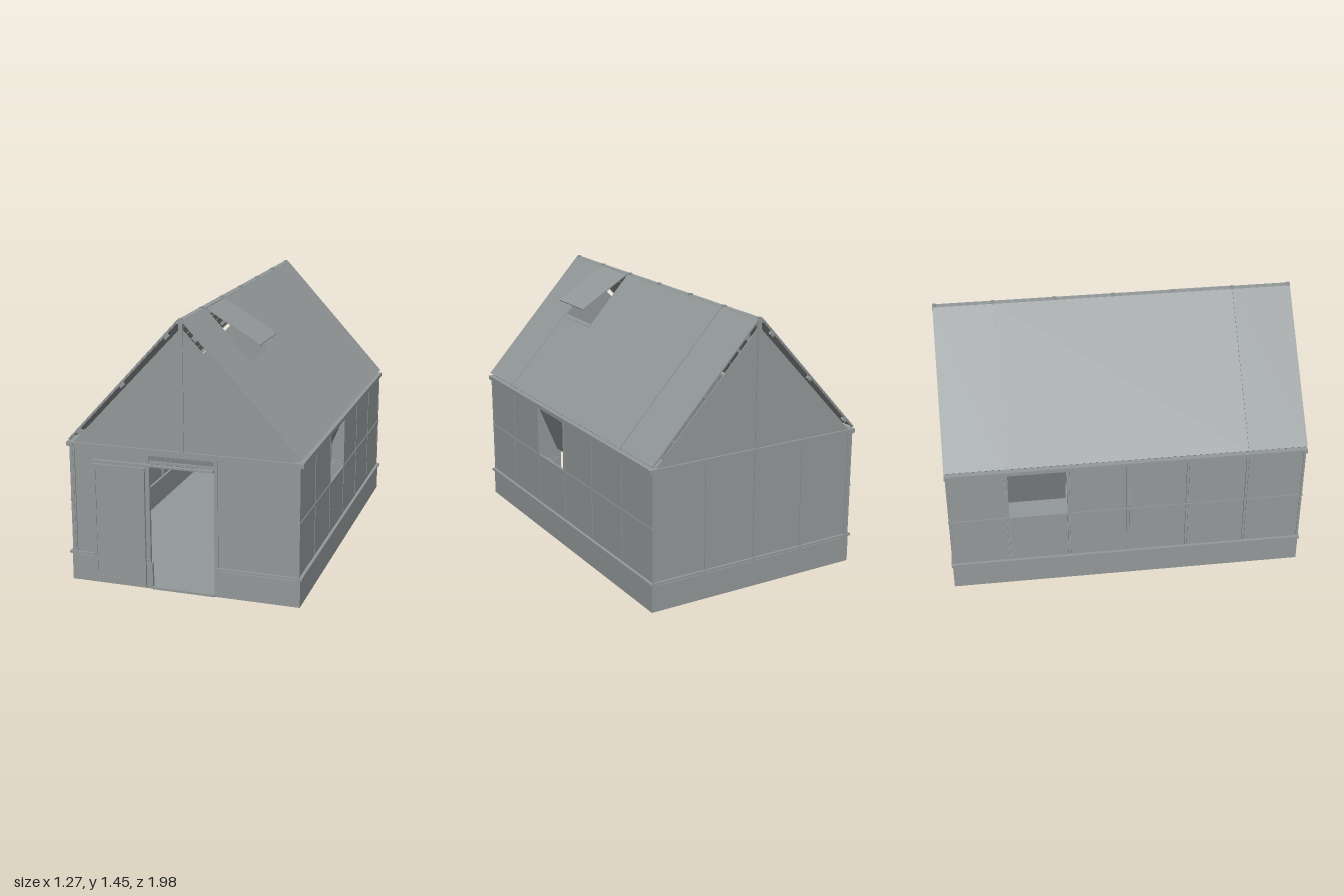
import * as THREE from 'three';

const grey = new THREE.MeshStandardMaterial({ color: 0x949999 });
grey.name = 'greenhouse grey';

export function createModel() {
  const model = new THREE.Group();
  model.name = 'greenhouse';

  // box given by its two extreme corners
  function block(name, x0, x1, y0, y1, z0, z1, parent = model) {
    const m = new THREE.Mesh(new THREE.BoxGeometry(x1 - x0, y1 - y0, z1 - z0), grey);
    m.position.set((x0 + x1) / 2, (y0 + y1) / 2, (z0 + z1) / 2);
    m.name = name;
    parent.add(m);
    return m;
  }
  // plate of thickness t running along a line in the xy plane, extended in z
  function slab(name, [ax, ay], [bx, by], z0, z1, t) {
    const m = new THREE.Mesh(new THREE.BoxGeometry(Math.hypot(bx - ax, by - ay), t, z1 - z0), grey);
    m.position.set((ax + bx) / 2, (ay + by) / 2, (z0 + z1) / 2);
    m.rotation.z = Math.atan2(by - ay, bx - ax);
    m.name = name;
    model.add(m);
    return m;
  }

  const back = -0.985, front = 0.965;
  const bays = [0.96, 0.645, 0.318, -0.01, -0.335, -0.665, -0.98];

  // floor and foundation, left open at the doorway
  block('floor', -0.62, 0.62, 0.004, 0.012, back, front);
  for (const s of [-1, 1]) {
    block('foundationSide', s * 0.615 - 0.01, s * 0.615 + 0.01, 0.004, 0.146, back, front);
    block('foundationFront', s < 0 ? -0.605 : 0.17, s < 0 ? -0.17 : 0.605, 0.004, 0.146, front - 0.02, front);
  }
  block('foundationBack', -0.605, 0.605, 0.004, 0.146, back, back + 0.02);
  block('threshold', -0.17, 0.17, 0.004, 0.016, 0.95, 0.972);

  // pegs between foundation and sill
  for (const z of [front - 0.012, back + 0.012])
    for (const x of [-0.6, -0.53, -0.19, 0.18, 0.31, 0.36, 0.585])
      block('sillPeg', x - 0.008, x + 0.008, 0.14, 0.158, z - 0.006, z + 0.006);

  // long side walls
  for (const s of [-1, 1]) {
    const rail = (name, y0, y1, w) =>
      block(name, s * 0.617 - w, s * 0.617 + w, y0, y1, back - 0.005, front + 0.005);
    rail('sideSill', 0.152, 0.165, 0.018);
    rail('sideMiddleRail', 0.448, 0.458, 0.006);
    rail('sideEaveRail', 0.748, 0.77, 0.018);
    for (const z of bays)
      block('sidePost', s * 0.612 - 0.009, s * 0.612 + 0.009, 0.146, 0.75, z - 0.006, z + 0.006);
    const openBay = s > 0 ? 2 : 4;
    for (let i = 0; i < 6; i++) {
      const z0 = bays[i + 1] + 0.008, z1 = bays[i] - 0.008;
      block('sidePane', s * 0.616 - 0.003, s * 0.616 + 0.003, 0.163, 0.449, z0, z1);
      if (i === openBay) // top-hung window, swung inward
        slab('sideWindow', [s * 0.612, 0.745], [s * 0.5, 0.472], z0, z1, 0.007);
      else
        block('sidePane', s * 0.616 - 0.003, s * 0.616 + 0.003, 0.457, 0.749, z0, z1);
    }
  }

  // triangular gable pane, half the width
  function gable(s, z) {
    const shape = new THREE.Shape([
      new THREE.Vector2(s * 0.008, 0.768), new THREE.Vector2(s * 0.6, 0.768), new THREE.Vector2(s * 0.008, 1.4)]);
    const m = new THREE.Mesh(new THREE.ExtrudeGeometry(shape, { depth: 0.006, bevelEnabled: false }), grey);
    m.position.z = z - 0.003;
    m.name = 'gablePane';
    model.add(m);
  }
  // framing shared by both end walls
  for (const [z, posts] of [[front - 0.01, [-0.605, -0.19, 0.18, 0.605]], [back + 0.01, [-0.605, -0.3, 0, 0.3, 0.605]]]) {
    for (const s of [-1, 1]) gable(s, z);
    block('gablePost', -0.01, 0.01, 0.76, 1.435, z - 0.009, z + 0.009);
    block('endTieRail', -0.637, 0.637, 0.748, 0.77, z - 0.014, z + 0.014);
    for (const x of posts)
      block('endPost', x - 0.01, x + 0.01, x === 0.18 || x === -0.19 ? 0.01 : 0.146, 0.75, z - 0.009, z + 0.009);
  }
  const fz = front - 0.01, bz = back + 0.01;
  block('backSill', -0.637, 0.637, 0.152, 0.165, bz - 0.016, bz + 0.014);
  for (const [x0, x1] of [[-0.595, -0.31], [-0.29, -0.01], [0.01, 0.29], [0.31, 0.595]])
    block('backPane', x0, x1, 0.163, 0.749, bz - 0.003, bz + 0.003);
  for (const [x0, x1, e0, e1] of [[-0.595, -0.2, -0.637, -0.19], [0.19, 0.595, 0.18, 0.637]]) {
    block('frontPane', x0, x1, 0.163, 0.749, fz - 0.003, fz + 0.003);
    block('frontSill', e0, e1, 0.152, 0.165, fz - 0.014, fz + 0.016);
  }

  // door header and tilted transom
  block('doorHeader', -0.18, 0.17, 0.692, 0.706, fz - 0.008, fz + 0.008);
  block('transomRail', -0.18, 0.17, 0.736, 0.75, fz - 0.008, fz + 0.008);
  block('transomPane', -0.18, 0.17, 0.706, 0.736, fz - 0.003, fz + 0.003).rotation.x = 0.25;

  // sliding door, standing open in front of the wall
  const door = new THREE.Group();
  door.name = 'slidingDoor';
  model.add(door);
  const dz0 = 0.979, dz1 = 0.992;
  block('doorStileOuter', -0.49, -0.468, 0.018, 0.672, dz0, dz1, door);
  block('doorStileInner', -0.22, -0.197, 0.018, 0.672, dz0, dz1, door);
  for (const [y0, y1] of [[0.018, 0.055], [0.29, 0.315], [0.637, 0.672]])
    block('doorRail', -0.468, -0.22, y0, y1, dz0, dz1, door);
  for (const [y0, y1] of [[0.055, 0.29], [0.315, 0.637]])
    block('doorPane', -0.468, -0.22, y0, y1, 0.982, 0.988, door);
  block('doorTopTrack', -0.49, 0.17, 0.68, 0.69, 0.962, 0.982);

  // roof slopes; t runs from ridge (0) to eave (1)
  const at = (s, t, drop = 0) => [s * (0.014 + 0.608 * t - drop), 1.446 - 0.662 * t - drop];
  const ventEnd = 0.415;
  for (const s of [-1, 1]) {
    const panel = (z0, z1, t0 = 0) => slab('roofPane', at(s, t0), at(s, 1), z0, z1, 0.007);
    panel(back - 0.004, -0.668);
    panel(0.646, front + 0.004);
    if (s > 0) {
      panel(-0.662, 0.322);
      panel(0.322, 0.627, ventEnd);
      panel(0.627, 0.641);
    } else panel(-0.662, 0.641);
    for (const z of bays) {
      slab('rafter', at(s, 0, 0.003), at(s, 1, 0.003), z - 0.005, z + 0.005, 0.007);
      for (const t of [0.1, 0.5, 0.9])
        slab('roofClip', at(s, t, 0.009), at(s, t + 0.03, 0.009), z - 0.008, z + 0.008, 0.02);
    }
  }
  // raised roof vent and the bar across the foot of its opening
  slab('roofVent', [0.02, 1.446], [0.31, 1.272], 0.328, 0.625, 0.006);
  slab('ventSill', at(1, ventEnd - 0.012), at(1, ventEnd + 0.012), 0.318, 0.63, 0.014);

  // ridge beam with small caps
  block('ridgeBeam', -0.017, 0.017, 1.43, 1.449, back - 0.006, front + 0.006);
  for (const z of bays) block('ridgeCap', -0.009, 0.009, 1.445, 1.457, z - 0.01, z + 0.01);

  return model;
}
